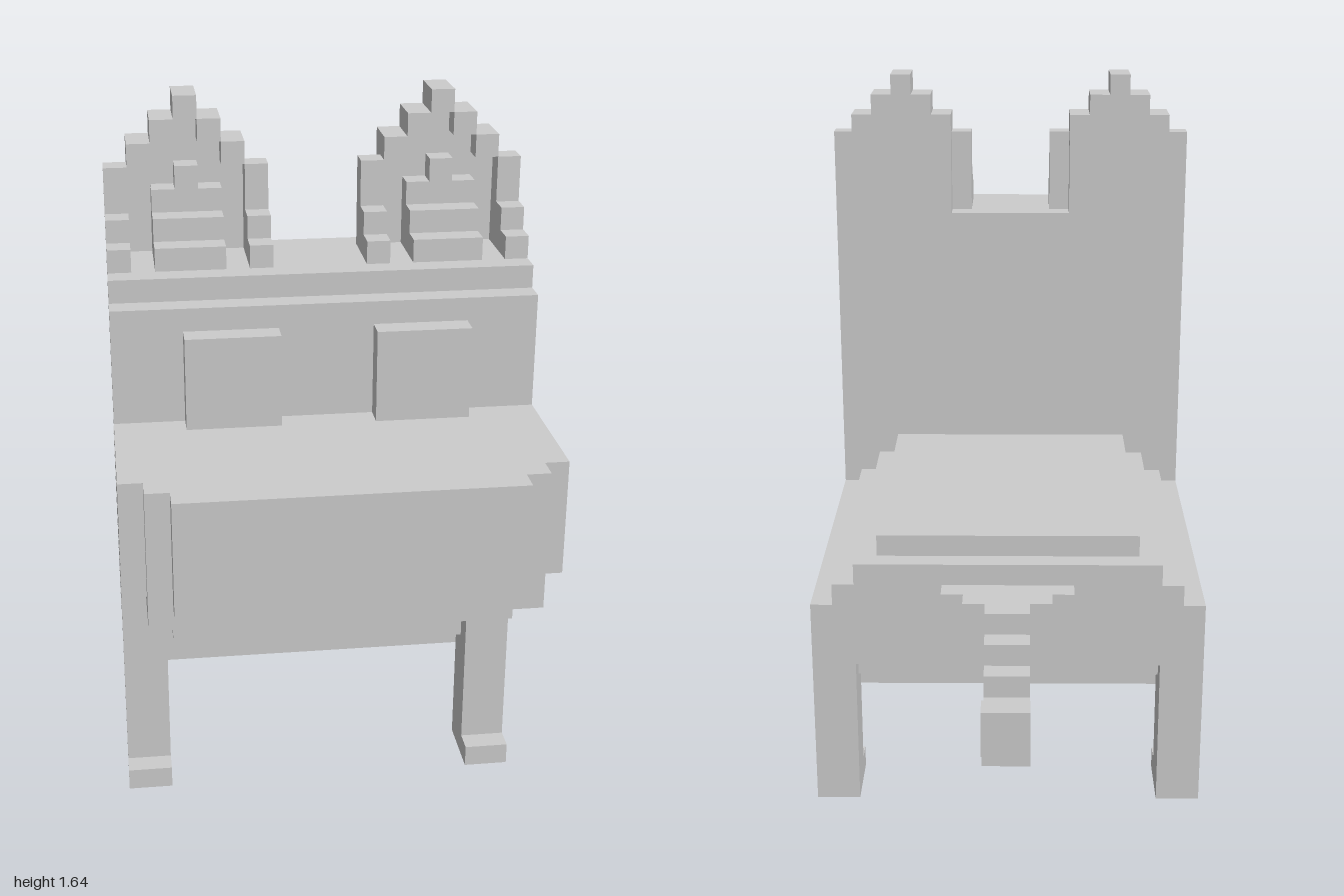
import * as THREE from 'three';

const U = 2 / 39; // one block

export function createModel() {
  const model = new THREE.Group();
  const mat = new THREE.MeshStandardMaterial({ color: 0xcccccc, flatShading: true });

  const group = (name) => {
    const g = new THREE.Group();
    g.name = name;
    model.add(g);
    return g;
  };
  // Box given by its limits in blocks
  const box = (parent, name, x0, x1, y0, y1, z0, z1) => {
    const mesh = new THREE.Mesh(new THREE.BoxGeometry((x1 - x0) * U, (y1 - y0) * U, (z1 - z0) * U), mat);
    mesh.position.set((x0 + x1) / 2 * U, (y0 + y1) / 2 * U, (z0 + z1) / 2 * U);
    mesh.name = name;
    parent.add(mesh);
  };
  // Box centred on x
  const mid = (parent, name, w, ...r) => box(parent, name, -w, w, ...r);
  // Box on one side, s = 1 or -1
  const side = (parent, name, s, x0, x1, ...r) =>
    box(parent, name, Math.min(s * x0, s * x1), Math.max(s * x0, s * x1), ...r);

  // Body: stepped belly and stepped seat
  const body = group('body');
  mid(body, 'belly', 8, 5, 6, -7.5, 7.5);
  mid(body, 'lowerBody', 9, 6, 7, -7.5, 7.5);
  mid(body, 'lowerBodyEnds', 7, 6, 7, -8.5, 8.5);
  mid(body, 'trunk', 9, 7, 10, -9.5, 7.5);
  mid(body, 'chest', 7, 7, 11, 7.5, 8.5);
  mid(body, 'seatStepLow', 8, 10, 11, -9.5, 6.5);
  mid(body, 'seatStepMiddle', 7, 11, 12, -9.5, 6.5);
  mid(body, 'seatTop', 6, 12, 13, -8.5, 6.5);

  // Legs with a small toe in front
  const legs = group('legs');
  for (const s of [1, -1]) {
    side(legs, 'frontLeg', s, 7, 9, 0, 11, 7.5, 9.5);
    side(legs, 'frontToe', s, 7, 9, 0, 1, 9.5, 10.5);
    side(legs, 'backLeg', s, 7, 9, 0, 7, -9.5, -7.5);
    side(legs, 'backToe', s, 7, 9, 0, 1, -7.5, -6.5);
  }

  // Head, doubling as the backrest
  const head = group('head');
  mid(head, 'backrestPanel', 8, 10, 25, 5.5, 6.5);
  mid(head, 'neck', 9, 10, 11, 6.5, 7.5);
  mid(head, 'skull', 9, 11, 25, 6.5, 9.5);
  mid(head, 'brow', 9, 19, 25, 9.5, 10.5);
  mid(head, 'face', 9, 19, 24, 10.5, 11.5);
  for (const s of [1, -1]) side(head, 'eye', s, 2, 6, 19, 23, 11.5, 12.5);

  // Muzzle with stepped corners and underside
  const muzzle = group('muzzle');
  mid(muzzle, 'muzzleSides', 9, 14, 19, 9.5, 17.5);
  mid(muzzle, 'muzzleCorners', 8, 14, 19, 17.5, 18.5);
  mid(muzzle, 'muzzleFront', 7, 14, 19, 18.5, 19.5);
  mid(muzzle, 'jaw', 8, 13, 14, 9.5, 18.5);
  mid(muzzle, 'chin', 7, 12, 13, 9.5, 17.5);

  // Ears: stepped back plate, raised rim, stepped inner ear
  for (const s of [1, -1]) {
    const ear = group(s > 0 ? 'leftEar' : 'rightEar');
    for (let i = 0; i < 3; i++) {
      side(ear, 'earPlate', s, 3 + i, 8 - i, i ? 29 + i : 25, 30 + i, 5.5, 6.5);
    }
    for (const d of [1, -1]) {
      for (let i = 0; i < 4; i++) {
        const c = 5.5 + d * (3 - i);
        if (i === 3 && d < 0) continue;
        side(ear, 'earRim', s, c - 0.5, c + 0.5, i ? 28 + i : 25, 29 + i, 6.5, 7.5);
      }
      const c = 5.5 + d * 3;
      side(ear, 'earRimStepLow', s, c - 0.5, c + 0.5, 25, 26, 7.5, 9.5);
      side(ear, 'earRimStepHigh', s, c - 0.5, c + 0.5, 26, 27, 7.5, 8.5);
    }
    side(ear, 'innerEarLow', s, 4, 7, 25, 26, 6.5, 9.5);
    side(ear, 'innerEarMiddle', s, 4, 7, 26, 27, 6.5, 8.5);
    side(ear, 'innerEarHigh', s, 4, 7, 27, 28, 6.5, 7.5);
    side(ear, 'innerEarTip', s, 5, 6, 28, 29, 6.5, 7.5);
  }

  // Tail: half width, bottom, top, far z, near z
  const tail = group('tail');
  [
    [3, 9, 11, -10.5, -9.5],
    [2, 9, 11, -11.5, -10.5],
    [1, 9, 11, -12.5, -11.5],
    [1, 8, 10, -13.5, -12.5],
    [1, 7, 9, -14.5, -13.5],
    [1, 7, 8, -17.5, -14.5],
    [1, 7, 9, -18.5, -17.5],
    [1, 8, 10, -19.5, -18.5],
  ].forEach((t) => mid(tail, 'tailSegment', ...t));

  return model;
}
